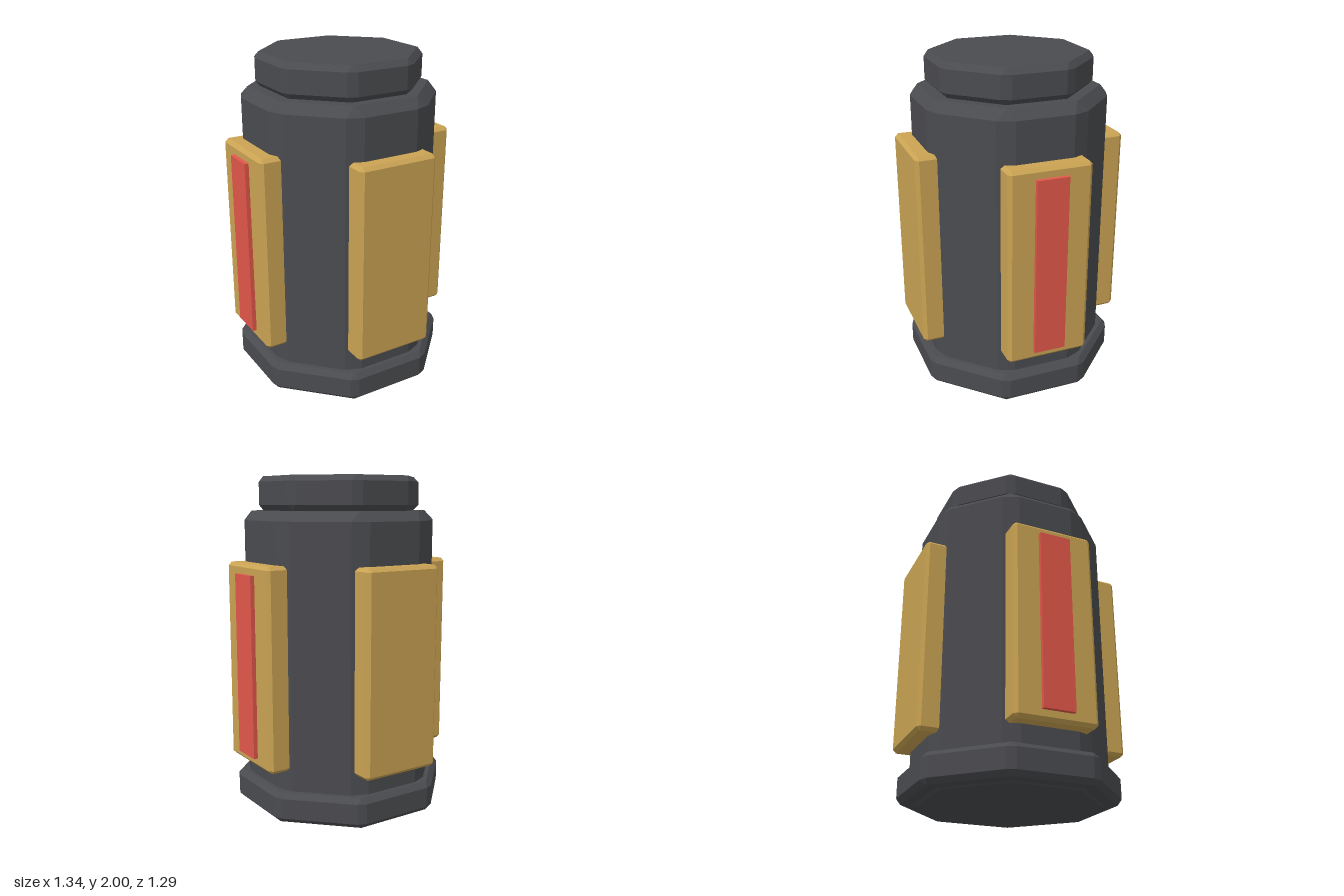
import * as THREE from 'three';
import { ConvexGeometry } from 'three/addons/geometries/ConvexGeometry.js';

const material = (color) => new THREE.MeshStandardMaterial({ color, flatShading: true });

// Octagonal prism with flats on the axes; every edge is chamfered by b.
function chamferedOctagon(apothem, y0, y1, b) {
  const points = [];
  const t = Math.tan(Math.PI / 8);
  const up = new THREE.Vector3(0, 1, 0);
  for (let i = 0; i < 8; i++) {
    const add = (x, y, z) =>
      points.push(new THREE.Vector3(x, y, z).applyAxisAngle(up, (i * Math.PI) / 4));
    const inner = apothem - b;
    const half = apothem * t - b;
    for (const y of [y0, y1]) add(inner, y, inner * t);
    for (const y of [y0 + b, y1 - b]) {
      add(apothem, y, half);
      add(apothem, y, -half);
    }
  }
  return new ConvexGeometry(points);
}

// Box with all edges chamfered by b, centred on the origin.
function chamferedBox(w, h, d, b) {
  const points = [];
  for (const x of [-w / 2, w / 2])
    for (const y of [-h / 2, h / 2])
      for (const z of [-d / 2, d / 2]) {
        const ix = x - Math.sign(x) * b;
        const iy = y - Math.sign(y) * b;
        const iz = z - Math.sign(z) * b;
        points.push(
          new THREE.Vector3(x, iy, iz),
          new THREE.Vector3(ix, y, iz),
          new THREE.Vector3(ix, iy, z),
        );
      }
  return new ConvexGeometry(points);
}

export function createModel() {
  const model = new THREE.Group();
  model.name = 'canister';
  const dark = material(0x4a4b4f);
  const gold = material(0xcaa353);
  const red = material(0xe2574a);

  const add = (name, geometry, mat, parent = model) => {
    const mesh = new THREE.Mesh(geometry, mat);
    mesh.name = name;
    parent.add(mesh);
    return mesh;
  };

  // Main body, foot ring and cap
  add('body', chamferedOctagon(0.553, 0, 1.8, 0.056), dark);
  add('base', chamferedOctagon(0.608, 0.01, 0.19, 0.03), dark);
  add('cap', chamferedOctagon(0.464, 1.8, 2, 0.033), dark);

  // Four side panels, with a light strip on the left and right ones
  const panelGeometry = chamferedBox(0.5, 1.195, 0.17, 0.021);
  const stripGeometry = new THREE.BoxGeometry(0.19, 1.075, 0.06);
  ['front', 'left', 'back', 'right'].forEach((side, i) => {
    const group = new THREE.Group();
    group.name = side + 'Panel';
    group.rotation.y = (i * Math.PI) / 2;
    model.add(group);
    add('panel', panelGeometry, gold, group).position.set(0, 0.903, 0.56);
    if (i % 2) add('lightStrip', stripGeometry, red, group).position.set(0, 0.903, 0.64);
  });

  return model;
}
